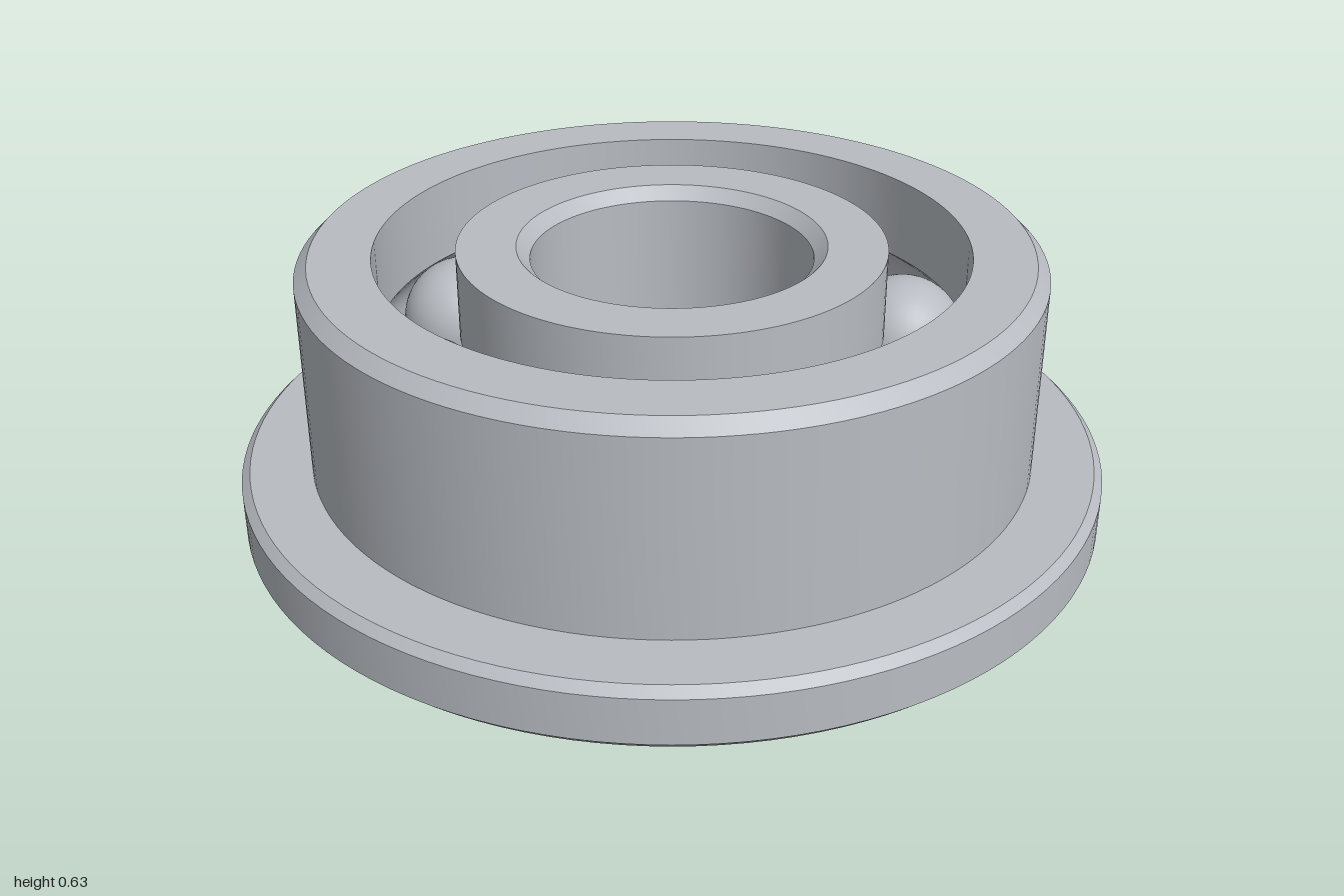
import * as THREE from 'three';
import { toCreasedNormals } from 'three/addons/utils/BufferGeometryUtils.js';

const HEIGHT = 0.63, MID = HEIGHT / 2;
const BALL_R = 0.147, PITCH_R = 0.58, BALLS = 8;

// Ball groove cut into a ring wall at radius wallR, running upwards
function groove(wallR) {
  const side = Math.sign(wallR - PITCH_R);
  const half = Math.acos(Math.abs(wallR - PITCH_R) / BALL_R);
  const points = [];
  for (let i = 0; i <= 16; i++) {
    const a = -half + (2 * half * i) / 16;
    points.push([PITCH_R + side * BALL_R * Math.cos(a), MID + BALL_R * Math.sin(a)]);
  }
  return points;
}

// Closed profile of [radius, y] points, revolved with crisp edges
function ring(name, profile, material) {
  const points = [...profile, profile[0]].map(([r, y]) => new THREE.Vector2(r, y));
  const geometry = toCreasedNormals(new THREE.LatheGeometry(points, 128), Math.PI / 7);
  const mesh = new THREE.Mesh(geometry, material);
  mesh.name = name;
  return mesh;
}

export function createModel() {
  const group = new THREE.Group();
  group.name = 'flangedBallBearing';
  const steel = new THREE.MeshStandardMaterial({ color: 0xb8bcc2 });
  steel.name = 'steel';

  // Outer ring with a chamfered flange at the base
  group.add(ring('outerRing', [
    [0.67, 0], [0.98, 0], [1, 0.02], [1, 0.127], [0.98, 0.147], [0.84, 0.147],
    [0.84, 0.6], [0.81, HEIGHT], [0.67, HEIGHT],
    ...groove(0.67).reverse(),
  ], steel));

  // Inner ring with a chamfered bore
  group.add(ring('innerRing', [
    [0.35, 0], [0.485, 0],
    ...groove(0.485),
    [0.485, HEIGHT], [0.35, HEIGHT], [0.32, HEIGHT - 0.03], [0.32, 0.03],
  ], steel));

  // Balls spaced evenly in the race
  const balls = new THREE.Group();
  balls.name = 'balls';
  const ballGeometry = new THREE.SphereGeometry(BALL_R - 0.001, 40, 28);
  for (let i = 0; i < BALLS; i++) {
    const a = (i / BALLS) * Math.PI * 2;
    const ball = new THREE.Mesh(ballGeometry, steel);
    ball.name = 'ball' + (i + 1);
    ball.position.set(PITCH_R * Math.cos(a), MID, PITCH_R * Math.sin(a));
    balls.add(ball);
  }
  group.add(balls);
  return group;
}
